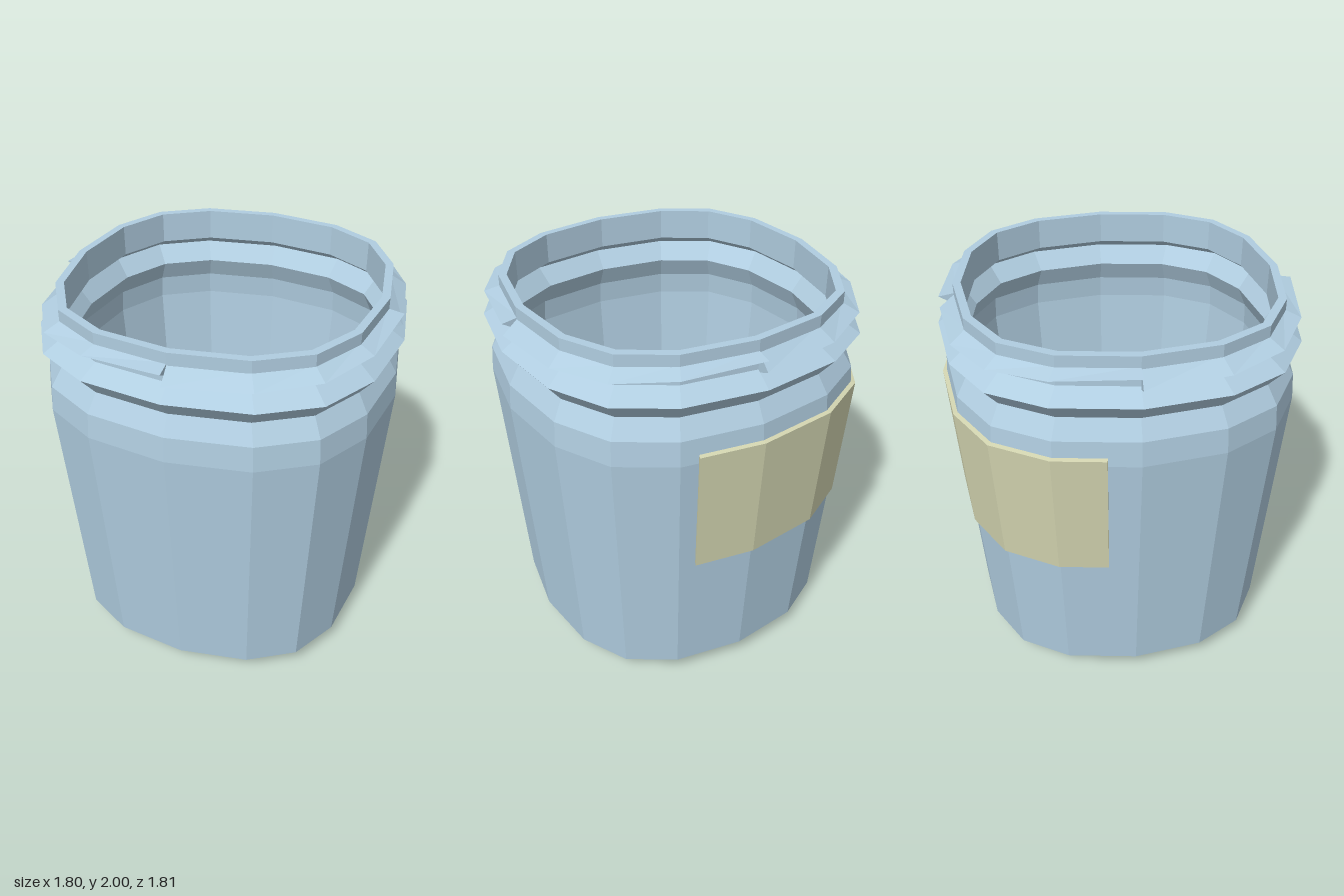
import * as THREE from 'three';

// Rounded-square cross-section: one quarter, repeated four times (16 sides)
const QUARTER = [[0, 1], [0.456, 0.933], [0.758, 0.758], [0.933, 0.456]];

function corner(i) {
  const n = ((i % 16) + 16) % 16;
  let [x, z] = QUARTER[n % 4];
  for (let q = 0; q < Math.floor(n / 4); q++) [x, z] = [z, -x];
  return [x, z];
}

// Point on the section: k counts corners from the front (+z) towards +x
function point(k, r, y) {
  const i = Math.floor(k), t = k - i;
  const a = corner(i), b = corner(i + 1);
  return new THREE.Vector3(r * (a[0] + (b[0] - a[0]) * t), y, r * (a[1] + (b[1] - a[1]) * t));
}

// Flat-shaded skin over a grid of points, skipping collapsed triangles
function skin(name, columns, color) {
  const pos = [];
  const tri = (a, b, c) => {
    if (a.distanceTo(b) < 1e-5 || b.distanceTo(c) < 1e-5 || c.distanceTo(a) < 1e-5) return;
    for (const p of [a, b, c]) pos.push(p.x, p.y, p.z);
  };
  for (let j = 0; j + 1 < columns.length; j++) {
    const L = columns[j], R = columns[j + 1];
    for (let i = 0; i + 1 < L.length; i++) {
      tri(L[i], R[i], R[i + 1]);
      tri(L[i], R[i + 1], L[i + 1]);
    }
  }
  const geo = new THREE.BufferGeometry();
  geo.setAttribute('position', new THREE.Float32BufferAttribute(pos, 3));
  geo.computeVertexNormals();
  const mesh = new THREE.Mesh(geo, new THREE.MeshStandardMaterial({ color, flatShading: true, side: THREE.DoubleSide }));
  mesh.name = name;
  return mesh;
}

export function createModel() {
  const group = new THREE.Group();
  group.name = 'jar';
  const glass = 0xb0cde0, paper = 0xd2d4b0;

  // Jar wall: up the outside, over the rim and down the inside
  const profile = [
    [0, 0], [0.68, 0], [0.795, 0.1], [0.89, 1.47], [0.88, 1.6], [0.825, 1.695],
    [0.9, 1.79], [0.84, 1.83], [0.81, 1.85], [0.81, 2],
    [0.77, 2], [0.77, 1.84], [0.84, 1.79], [0.77, 1.7], [0.82, 1.59], [0.83, 1.47],
    [0.735, 0.12], [0.65, 0.04], [0, 0.04],
  ];
  const wall = [];
  for (let k = 0; k <= 16; k++) wall.push(profile.map(([r, y]) => point(k, r, y)));
  group.add(skin('jarBody', wall, glass));

  // Four rising screw threads, one per quarter, closed at both ends
  for (let q = 0; q < 4; q++) {
    const columns = [];
    for (let s = 0; s <= 4; s++) {
      const k = q * 4 + s, t = s / 4;
      columns.push([
        point(k, 0.8, 1.83 + 0.05 * t),
        point(k, 0.885, 1.87 + 0.06 * t),
        point(k, 0.8, 1.945),
      ]);
    }
    const cap = (c) => [c[0], c[0], c[2]];
    columns.unshift(cap(columns[0]));
    columns.push(cap(columns[columns.length - 1]));
    group.add(skin('screwThread' + (q + 1), columns, glass));
  }

  // Blank label wrapped around the back
  const radius = (y) => 0.795 + (0.095 * (y - 0.1)) / 1.37;
  const label = [7.22, 8, 9, 10, 11, 11.62].map((k) => [
    point(k, radius(0.83), 0.83),
    point(k, radius(0.83) + 0.018, 0.825),
    point(k, radius(1.47) + 0.018, 1.51),
    point(k, radius(1.47) - 0.005, 1.515),
  ]);
  const flat = (c) => [c[0], c[0], c[3], c[3]];
  label.unshift(flat(label[0]));
  label.push(flat(label[label.length - 1]));
  group.add(skin('label', label, paper));

  return group;
}
